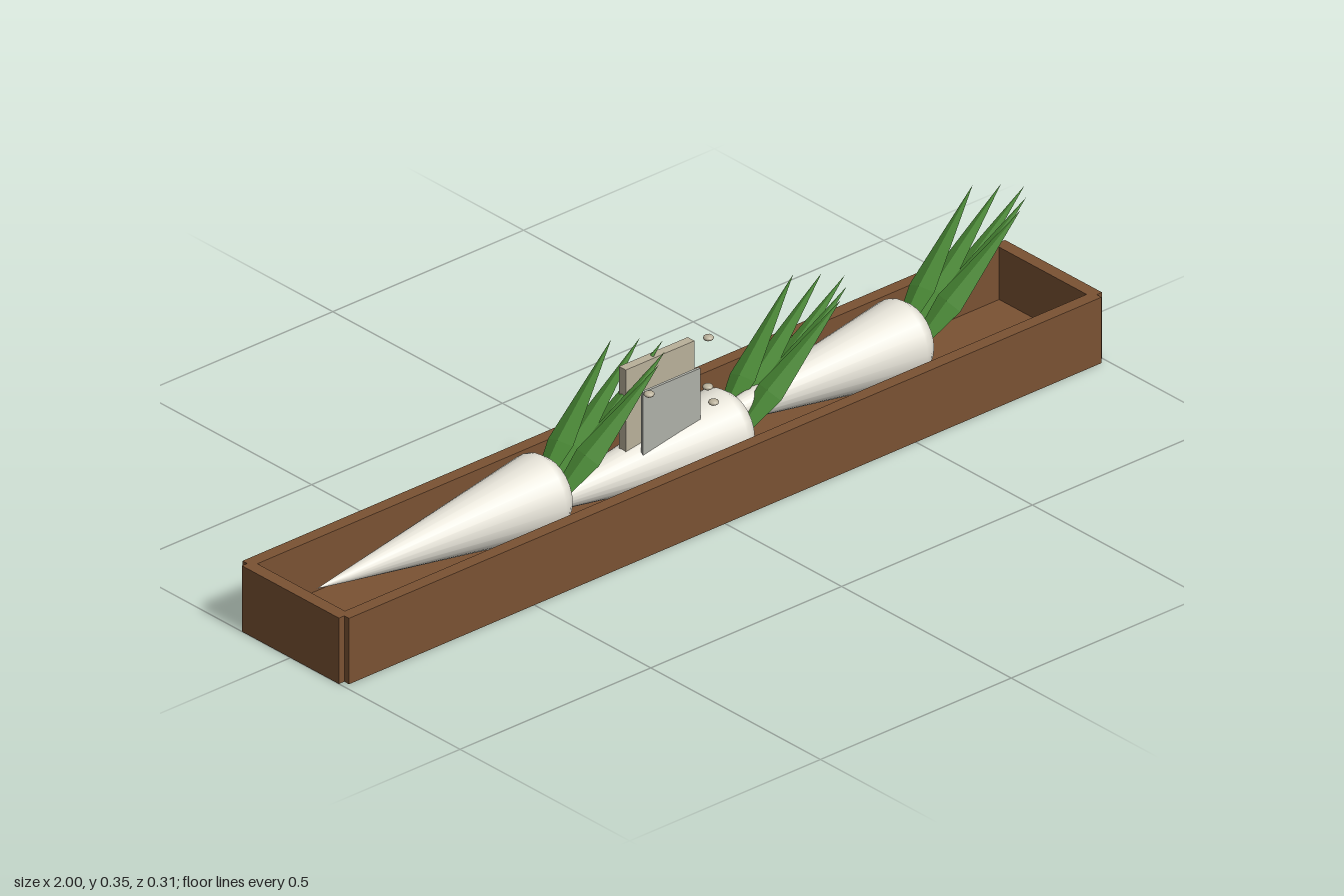
import * as THREE from 'three';

const mat = (name, color, side = THREE.FrontSide) => {
  const m = new THREE.MeshStandardMaterial({ color, side });
  m.name = name;
  return m;
};

export function createModel() {
  const wood = mat('wood', 0x7a5233);
  const white = mat('rootWhite', 0xe6e3d8);
  const green = mat('leafGreen', 0x4a8a35);
  const card = mat('card', 0xb9b09a);
  const panelGrey = mat('panelGrey', 0xaeb0a8);

  const model = new THREE.Group();
  model.name = 'vegetablePlanter';

  const add = (parent, name, geo, material, x = 0, y = 0, z = 0) => {
    const m = new THREE.Mesh(geo, material);
    m.name = name;
    m.position.set(x, y, z);
    parent.add(m);
    return m;
  };
  const box = (parent, name, material, w, h, d, x, y, z) =>
    add(parent, name, new THREE.BoxGeometry(w, h, d), material, x, y, z);

  // Trough: floor and four planks, with small notches at the corners
  const trough = new THREE.Group();
  trough.name = 'trough';
  model.add(trough);
  box(trough, 'floor', wood, 1.97, 0.028, 0.286, 0, 0.016, 0);
  for (const s of [1, -1]) {
    box(trough, 'longPlank', wood, 1.972, 0.147, 0.028, 0, 0.0735, s * 0.143);
    box(trough, 'endPlank', wood, 0.028, 0.147, 0.286, s * 0.986, 0.0735, 0);
  }

  // Root: long cone with a rounded shoulder, tip towards -x, crown at the origin
  const rootProfile = [[0, -0.62], [0.012, -0.54], [0.085, -0.04], [0.083, -0.028],
    [0.07, -0.01], [0.052, 0], [0, 0]].map(([r, y]) => new THREE.Vector2(r, y));
  const rootGeo = new THREE.LatheGeometry(rootProfile, 24).rotateZ(-Math.PI / 2);

  // Leaf blade: four-sided flat spike of unit length
  const bladeProfile = [[0, 0], [0.6, 0.02], [1, 0.26], [0, 1]]
    .map(([r, y]) => new THREE.Vector2(r, y));
  const bladeGeo = new THREE.LatheGeometry(bladeProfile, 4).toNonIndexed();
  bladeGeo.computeVertexNormals();

  const up = new THREE.Vector3(0, 1, 0);
  // Base and tip of each blade relative to the crown; side blades are mirrored
  const blades = [
    [[0.015, -0.005, 0], [0.288, 0.225, 0]],
    [[0.008, 0.0, 0.018], [0.26, 0.225, 0.037]],
    [[0.0, 0.008, 0.03], [0.215, 0.225, 0.07]],
  ];
  const addPlant = (x, y) => {
    const plant = new THREE.Group();
    plant.name = 'rootVegetable';
    plant.position.set(x, y, 0);
    model.add(plant);
    add(plant, 'root', rootGeo, white);
    blades.forEach(([base, tip], i) => {
      for (const s of i ? [1, -1] : [1]) {
        const a = new THREE.Vector3(base[0], base[1], base[2] * s);
        const dir = new THREE.Vector3(tip[0], tip[1], tip[2] * s).sub(a);
        const leaf = add(plant, 'leafBlade', bladeGeo, green, a.x, a.y, a.z);
        leaf.scale.set(0.011, dir.length(), 0.035);
        leaf.quaternion.setFromUnitVectors(up, dir.normalize());
      }
    });
  };
  addPlant(-0.312, 0.129);
  addPlant(0.165, 0.101);
  addPlant(0.635, 0.129);

  // Upright marker card with a smaller panel in front
  box(model, 'markerCard', card, 0.18, 0.33, 0.02, -0.04, 0.165, 0);
  box(model, 'markerPanel', panelGrey, 0.15, 0.25, 0.006, -0.03, 0.155, 0.03);

  // Small flattened pebbles around the marker
  const pebbleGeo = new THREE.SphereGeometry(0.011, 10, 8).scale(1, 0.55, 1);
  for (const p of [[0, 0.215, -0.065], [0.14, 0.28, -0.05], [0.085, 0.215, 0.01],
    [0.06, 0.208, 0.055], [-0.1, 0.28, 0.045]]) {
    add(model, 'pebble', pebbleGeo, card, ...p);
  }
  return model;
}
